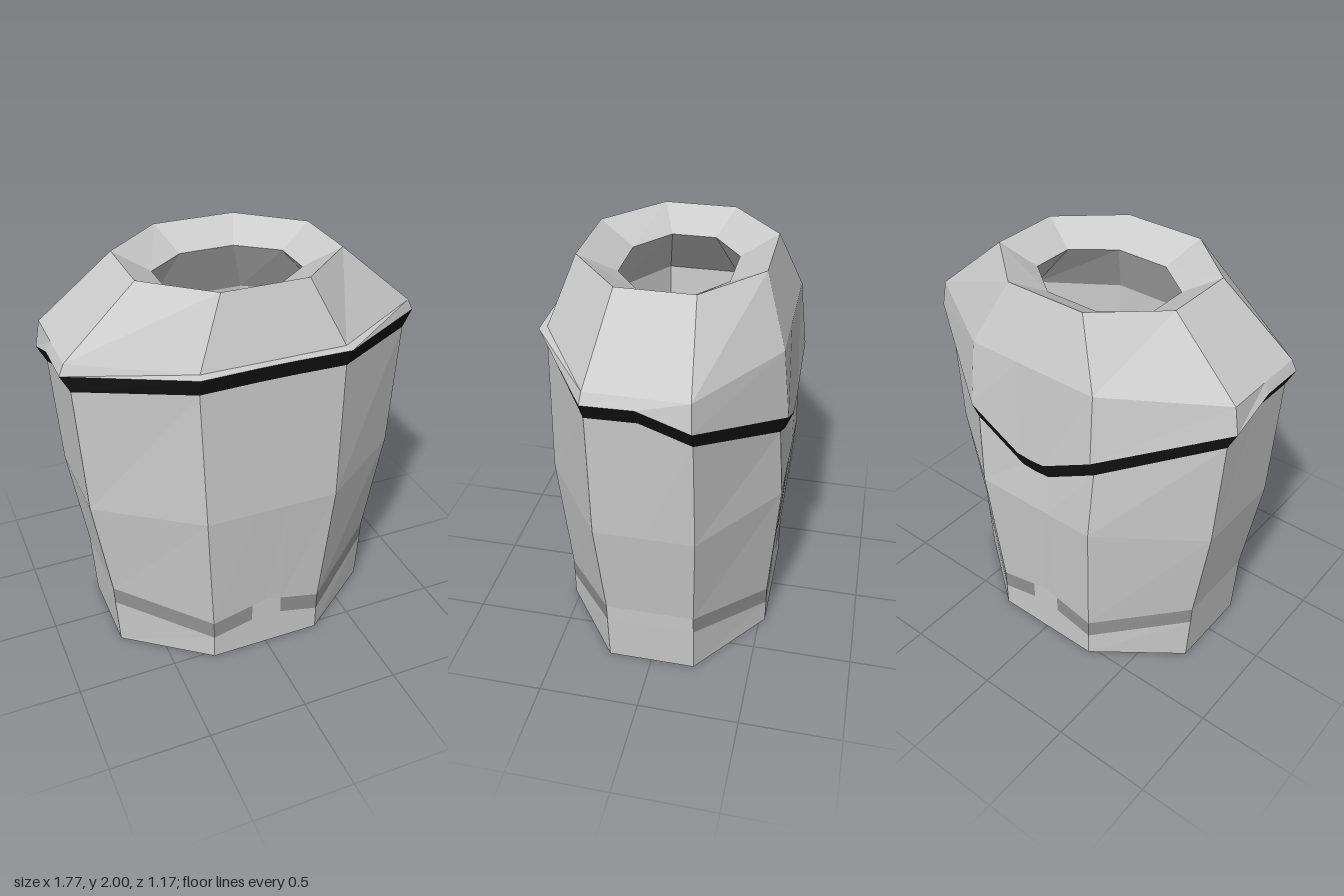
import * as THREE from 'three';

// Half ring of nine points, running front centre -> left side -> back centre.
// sx, sz: side corner; cx, cz: front and back corner; ys: one height or nine.
function ring(sx, sz, cx, cz, ys) {
  const half = [
    [0, cz], [0.08, cz], [cx, cz], [sx, sz], [sx, 0],
    [sx, -sz], [cx, -cz], [0.08, -cz], [0, -cz],
  ].map(([x, z], i) => new THREE.Vector3(x, Array.isArray(ys) ? ys[i] : ys, z));
  // Mirror to the other side to close the loop
  const mirrored = half.slice(1, -1).reverse()
    .map((p) => new THREE.Vector3(-p.x, p.y, p.z));
  return [...half, ...mirrored];
}

// Faces between consecutive rings; keep(segment) picks the half-ring segments used.
function loft(rings, keep = () => true) {
  const out = [];
  for (let r = 0; r + 1 < rings.length; r++) {
    const low = rings[r], high = rings[r + 1], n = low.length;
    for (let i = 0; i < n; i++) {
      if (!keep(i < n / 2 ? i : n - 1 - i)) continue;
      const j = (i + 1) % n;
      for (const p of [low[i], low[j], high[j], low[i], high[j], high[i]]) {
        out.push(p.x, p.y, p.z);
      }
    }
  }
  const geometry = new THREE.BufferGeometry();
  geometry.setAttribute('position', new THREE.Float32BufferAttribute(out, 3));
  geometry.computeVertexNormals();
  return geometry;
}

export function createModel() {
  const group = new THREE.Group();
  const grey = new THREE.MeshStandardMaterial({ color: 0xcccccc, flatShading: true });
  const dark = new THREE.MeshStandardMaterial({ color: 0x929292, flatShading: true });
  const black = new THREE.MeshStandardMaterial({ color: 0x161616, flatShading: true });
  const add = (name, geometry, material) => {
    const mesh = new THREE.Mesh(geometry, material);
    mesh.name = name;
    group.add(mesh);
  };

  // Heights that vary around the ring
  const stripeY = [0.2, 0.18, 0.13, 0.26, 0.26, 0.26, 0.13, 0.18, 0.2];
  const trimY = [1.6, 1.6, 1.595, 1.55, 1.555, 1.47, 1.27, 1.115, 1.11];
  const raise = (ys, d) => ys.map((y) => y + d);

  const hem = ring(0.70, 0.22, 0.29, 0.53, 0);
  const stripeLow = ring(0.715, 0.22, 0.29, 0.53, stripeY);
  const stripeHigh = ring(0.72, 0.22, 0.292, 0.53, raise(stripeY, 0.095));
  const waist = ring(0.805, 0.24, 0.335, 0.575, 0.9);
  const trimLow = ring(0.84, 0.235, 0.355, 0.55, trimY);
  const trimHigh = ring(0.885, 0.237, 0.362, 0.583, raise(trimY, 0.088));
  const shoulder = ring(0.86, 0.23, 0.35, 0.545, 1.692);
  const top = ring(0.505, 0.18, 0.21, 0.435, 2);
  const neck = ring(0.335, 0.11, 0.14, 0.26, 1.9);

  // Outer body, leaving room for the stripes
  const isStripe = (s) => s === 1 || s === 2 || s === 5 || s === 6;
  add('lowerBody', loft([hem, stripeLow]), grey);
  add('stripeGaps', loft([stripeLow, stripeHigh], (s) => !isStripe(s)), grey);
  add('stripes', loft([stripeLow, stripeHigh], isStripe), dark);
  add('upperBody', loft([stripeHigh, waist, trimLow]), grey);

  // Overhanging mantle with its dark trim and sunken neck opening
  add('mantleTrim', loft([trimLow, trimHigh]), black);
  add('mantle', loft([trimHigh, shoulder, top]), grey);
  add('neckOpening', loft([top, neck]), grey);

  // Inner lining and flat bottom edge
  const liningTop = ring(0.61, 0.18, 0.25, 0.42, 1.6);
  const liningWaist = ring(0.59, 0.18, 0.24, 0.42, 0.9);
  const liningHem = ring(0.51, 0.16, 0.21, 0.39, 0);
  add('lining', loft([neck, liningTop, liningWaist, liningHem]), grey);
  add('hemEdge', loft([liningHem, hem]), grey);

  return group;
}
